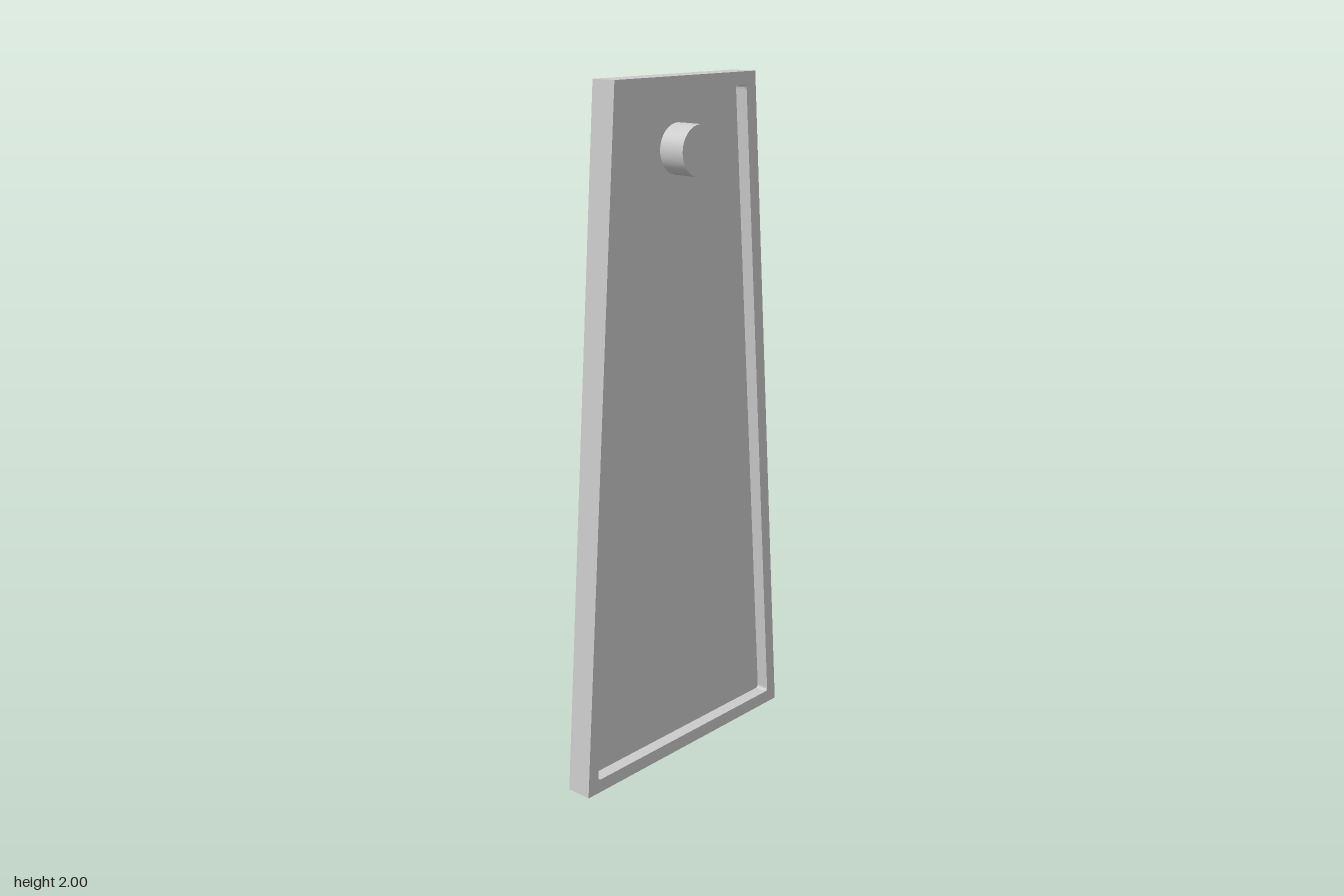
import * as THREE from 'three';

const BACK = -0.062, FLOOR = -0.022, RIM = 0.017, KNOB_FRONT = 0.06;

// Symmetric trapezoid outline with optional small rounded corners
function trapezoid(PathType, bottomHalf, topHalf, y0, y1, r = 0) {
  const pts = [[-bottomHalf, y0], [bottomHalf, y0], [topHalf, y1], [-topHalf, y1]]
    .map(([x, y]) => new THREE.Vector2(x, y));
  const path = new PathType();
  pts.forEach((p, i) => {
    const toward = (q) => p.clone().add(q.clone().sub(p).setLength(r));
    const a = toward(pts[(i + 3) % 4]);
    const b = toward(pts[(i + 1) % 4]);
    if (i === 0) path.moveTo(a.x, a.y);
    else path.lineTo(a.x, a.y);
    if (r > 0) path.quadraticCurveTo(p.x, p.y, b.x, b.y);
  });
  path.closePath();
  return path;
}

function slab(shape, z0, z1) {
  return new THREE.ExtrudeGeometry(shape, { depth: z1 - z0, bevelEnabled: false, curveSegments: 5 })
    .translate(0, 0, z0);
}

export function createModel() {
  const group = new THREE.Group();
  group.name = 'taperedPanel';
  const material = new THREE.MeshStandardMaterial({ color: 0xcccccc });
  const add = (name, geometry) => {
    const mesh = new THREE.Mesh(geometry, material);
    mesh.name = name;
    group.add(mesh);
  };
  const outline = () => trapezoid(THREE.Shape, 0.427, 0.284, 0, 2);

  // Solid back plate, forming the floor of the recess
  add('backPlate', slab(outline(), BACK, FLOOR));

  // Raised rim around the recess
  const rim = outline();
  rim.holes.push(trapezoid(THREE.Path, 0.387, 0.246, 0.04, 1.963, 0.012));
  add('rim', slab(rim, FLOOR, RIM));

  // Round peg standing on the recess floor
  const length = KNOB_FRONT - FLOOR;
  add('peg', new THREE.CylinderGeometry(0.071, 0.071, length, 48)
    .rotateX(Math.PI / 2)
    .translate(0, 1.802, FLOOR + length / 2));

  return group;
}
